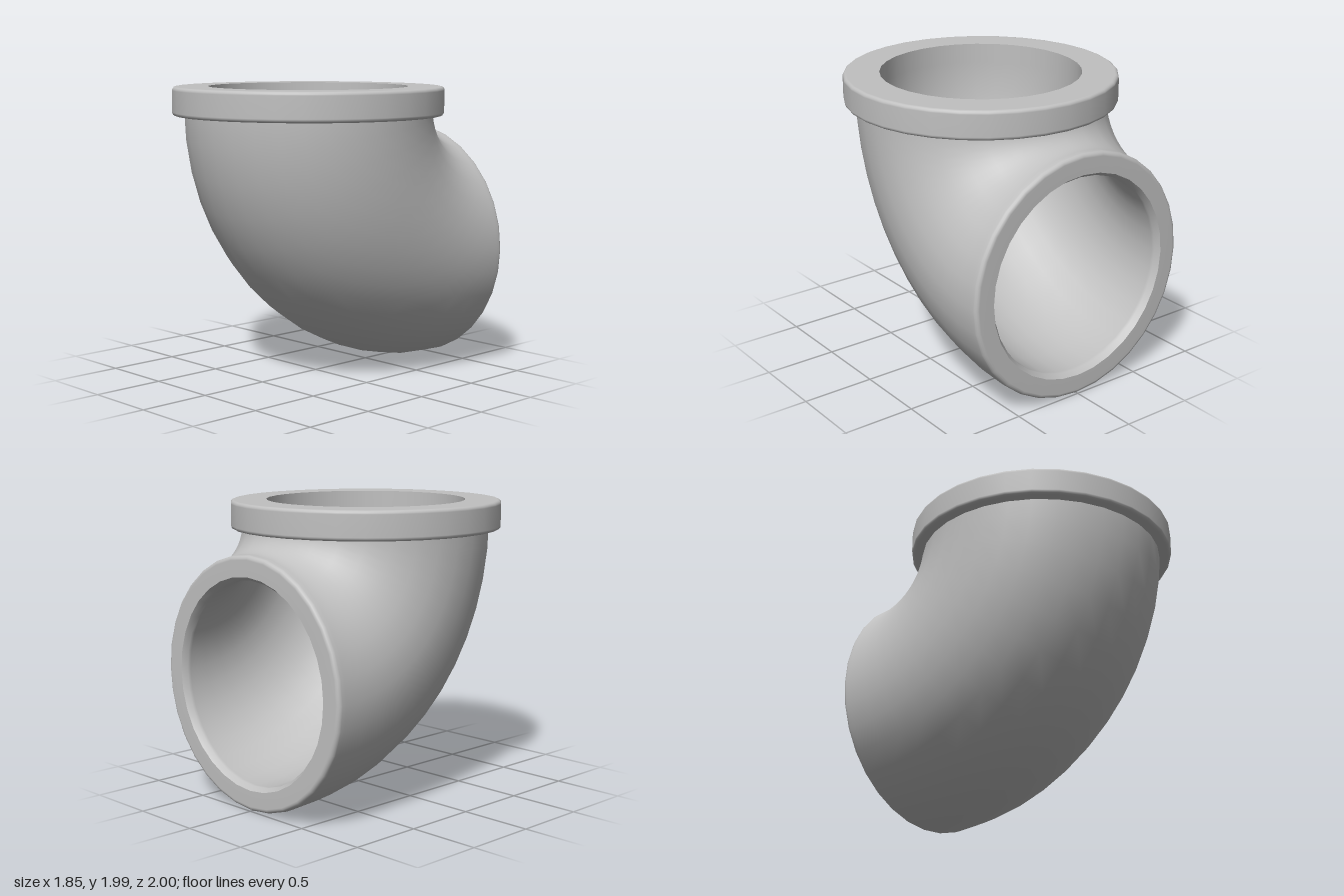
import * as THREE from 'three';

const SIDES = 32;
const OUTER = 0.845, BORE = 0.68;      // pipe radii
const BEND = 1.01;                     // bend radius of the centre line
const BEND_Y = 1.865, BEND_Z = -0.94;  // bend centre

// Points of a rounded corner, centred at (cx, cy), from angle a0 to a1 in degrees
function fillet(cx, cy, r, a0, a1, steps = 4) {
  const pts = [];
  for (let i = 0; i <= steps; i++) {
    const a = THREE.MathUtils.degToRad(a0 + ((a1 - a0) * i) / steps);
    pts.push([cx + r * Math.cos(a), cy + r * Math.sin(a)]);
  }
  return pts;
}

// Ring turned from a profile; repeated points keep an edge sharp
function ring(profile) {
  return new THREE.LatheGeometry(profile.map(([x, y]) => new THREE.Vector2(x, y)), SIDES);
}

export function createModel() {
  const model = new THREE.Group();
  model.name = 'pipeElbow';

  const metal = new THREE.MeshStandardMaterial({ color: 0xc0c0c0, side: THREE.DoubleSide });
  metal.name = 'grey metal';

  const add = (name, geometry) => {
    const mesh = new THREE.Mesh(geometry, metal);
    mesh.name = name;
    model.add(mesh);
    return mesh;
  };

  // Quarter bends: outer wall and bore, from the top opening round to the back
  const toBend = new THREE.Matrix4().makeBasis(
    new THREE.Vector3(0, 0, 1), new THREE.Vector3(0, -1, 0), new THREE.Vector3(1, 0, 0),
  ).setPosition(0, BEND_Y, BEND_Z);
  for (const [name, radius] of [['outerBend', OUTER], ['boreBend', BORE]]) {
    add(name, new THREE.TorusGeometry(BEND, radius, SIDES, 12, Math.PI / 2).applyMatrix4(toBend));
  }

  // Top flange with rounded outer edges
  const R = 0.925, f = 0.025, low = 1.805, high = 2;
  const flange = add('topFlange', ring([
    [OUTER - 0.03, low],
    ...fillet(R - f, low + f, f, -90, 0),
    ...fillet(R - f, high - f, f, 0, 90),
    [BORE, high], [BORE, high],
    [BORE, BEND_Y],
  ]));
  flange.position.z = BEND_Z + BEND;

  // Back rim: short straight collar with a rounded outer edge and a slight flare inside
  const rim = add('backRim', ring([
    [OUTER, -BEND_Z],
    ...fillet(OUTER - 0.03, 0.97, 0.03, 0, 90),
    [0.705, 1], [0.705, 1],
    [BORE, 0.965],
    [BORE, -BEND_Z],
  ]));
  rim.rotation.x = -Math.PI / 2;
  rim.position.y = BEND_Y - BEND;

  return model;
}
